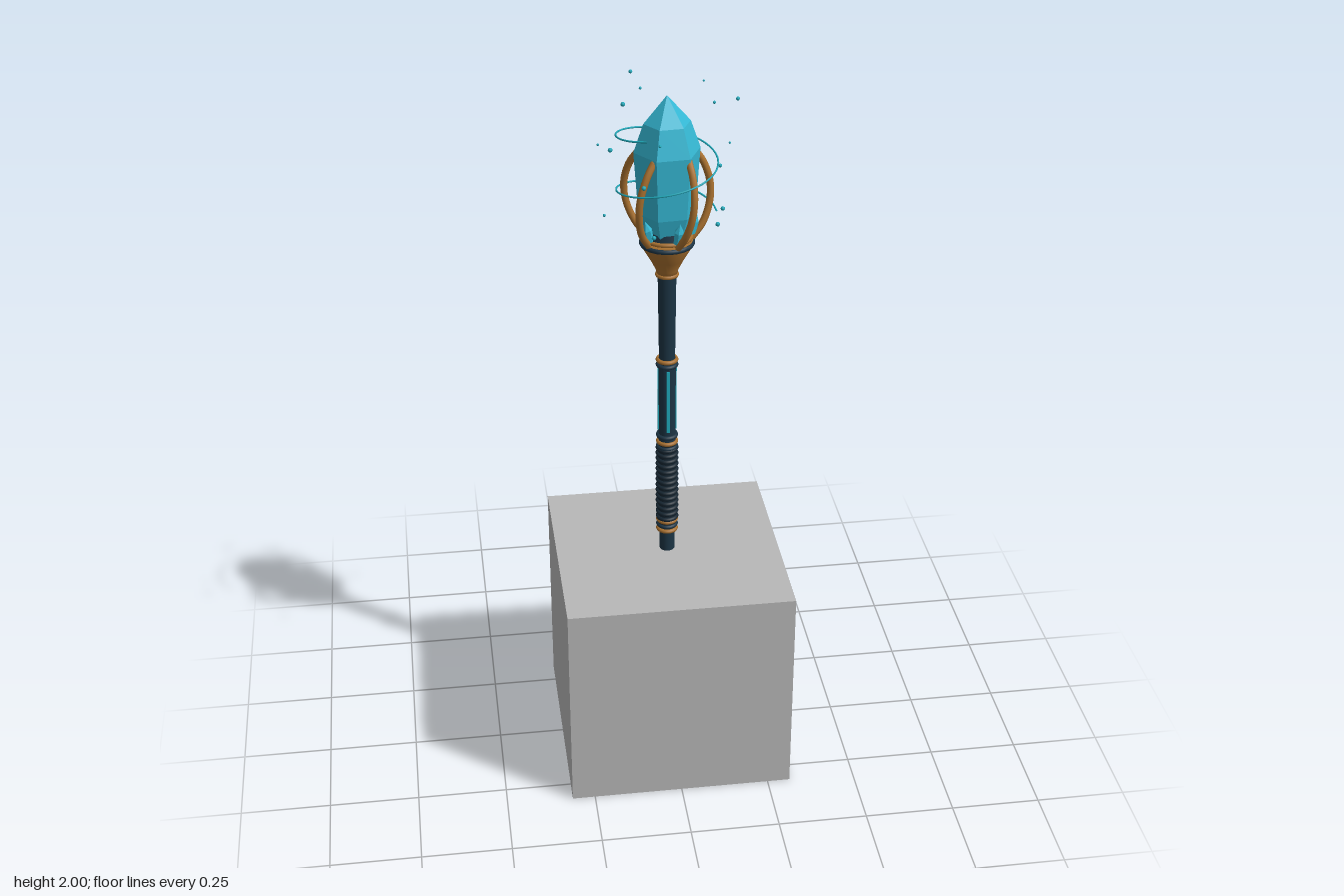
import * as THREE from 'three';

const mat = (name, color, flat = false) =>
  Object.assign(new THREE.MeshStandardMaterial({ color, flatShading: flat }), { name });

export function createModel() {
  const group = new THREE.Group();
  const stone = mat('grey block', 0xb8b8b8, true);
  const dark = mat('dark blue metal', 0x1c3444);
  const leather = mat('dark grip', 0x162632);
  const copper = mat('copper', 0xa8702f);
  const crystalMat = mat('crystal blue', 0x35b8d4, true);
  const glow = mat('glowing teal', 0x1fa9ba);

  const add = (name, geo, material, x = 0, y = 0, z = 0, parent = group) => {
    const m = new THREE.Mesh(geo, material);
    m.name = name;
    m.position.set(x, y, z);
    parent.add(m);
    return m;
  };
  const rod = (name, rTop, rBottom, y0, y1, material, sides = 20) =>
    add(name, new THREE.CylinderGeometry(rTop, rBottom, y1 - y0, sides), material, 0, (y0 + y1) / 2, 0);
  const ring = (name, r, tube, y, material) =>
    add(name, new THREE.TorusGeometry(r, tube, 8, 24).rotateX(Math.PI / 2), material, 0, y, 0);
  // point at an angle around the staff, turning from +x towards +z
  const polar = (r, a, y) => new THREE.Vector3(r * Math.cos(a), y, r * Math.sin(a));
  const rad = THREE.MathUtils.degToRad;

  // Base block
  add('block', new THREE.BoxGeometry(0.628, 0.628, 0.628), stone, 0, 0.314, 0);

  // Shaft
  rod('lowerShaft', 0.021, 0.021, 0.55, 0.72, dark);
  rod('gripCore', 0.026, 0.026, 0.71, 0.98, leather);
  rod('middleShaft', 0.024, 0.024, 0.98, 1.24, dark);
  rod('upperShaft', 0.025, 0.022, 1.24, 1.49, dark);
  for (let i = 0; i < 14; i++) ring('gripRib', 0.026, 0.006, 0.735 + i * 0.0172, leather);
  for (const y of [0.695, 0.725, 0.98, 1.235]) ring('copperBand', 0.025, 0.006, y, copper);
  for (const y of [0.71, 0.965, 1.0, 1.22]) ring('darkBand', 0.025, 0.006, y, dark);

  // Glowing inlays along the middle shaft
  for (let i = 0; i < 4; i++) {
    const a = i * Math.PI / 2;
    const p = polar(0.0235, a, 1.113);
    add('inlay', new THREE.BoxGeometry(0.005, 0.19, 0.008), glow, p.x, p.y, p.z).rotation.y = -a;
  }

  // Flared head socket
  const flare = [[0, 1.485], [0.026, 1.485], [0.03, 1.505], [0.045, 1.535], [0.068, 1.575], [0.068, 1.595], [0, 1.595]];
  add('socket', new THREE.LatheGeometry(flare.map(p => new THREE.Vector2(...p)), 28), copper);
  ring('socketCollar', 0.026, 0.006, 1.49, copper);
  ring('socketRim', 0.067, 0.007, 1.583, dark);
  ring('socketTrim', 0.063, 0.006, 1.6, copper);
  rod('crystalSeat', 0.056, 0.064, 1.59, 1.622, dark, 28);

  // Main crystal: six-sided, stepped towards the point
  const gem = [[0.0001, 1.6], [0.055, 1.605], [0.076, 1.67], [0.088, 1.84], [0.062, 1.915], [0.0001, 1.987]];
  const gemGeo = new THREE.LatheGeometry(gem.map(p => new THREE.Vector2(...p)), 6);
  add('crystal', gemGeo, crystalMat).rotation.y = rad(30 + 5);

  // Small shards around the crystal foot, leaning outward
  for (let i = 0; i < 5; i++) {
    const a = rad(72 * i);
    const shard = new THREE.Group();
    shard.name = 'shard';
    shard.position.copy(polar(0.063, a, 1.605));
    shard.rotation.set(0, -a, -0.25, 'YXZ');
    add('shardBody', new THREE.CylinderGeometry(0.013, 0.012, 0.035, 6), crystalMat, 0, 0.0175, 0, shard);
    add('shardTip', new THREE.ConeGeometry(0.013, 0.025, 6), crystalMat, 0, 0.0475, 0, shard);
    group.add(shard);
  }

  // Five curved prongs with a slight twist
  const prongPath = [[0.064, 9, 1.59], [0.095, 5, 1.63], [0.115, 1, 1.685], [0.117, -2, 1.74], [0.1, -6, 1.795], [0.077, -11, 1.83]];
  for (let i = 0; i < 5; i++) {
    const pts = prongPath.map(([r, twist, y]) => polar(r, rad(-81 + 72 * i + twist), y));
    add('prong', new THREE.TubeGeometry(new THREE.CatmullRomCurve3(pts), 24, 0.0095, 10), copper);
    const tip = pts[pts.length - 1];
    add('prongTip', new THREE.SphereGeometry(0.0095, 10, 8), copper, tip.x, tip.y, tip.z);
  }

  // Thin spiral of energy
  const spiral = [];
  for (let d = 360; d >= -240; d -= 15) spiral.push(polar(0.131, rad(d), 1.735 + (180 - d) / 360 * 0.15));
  add('spiral', new THREE.TubeGeometry(new THREE.CatmullRomCurve3(spiral), 120, 0.0025, 6), glow);

  // Floating motes: x, y, z, radius
  const motes = [
    [-0.072, 1.99, -0.172, 0.005], [-0.05, 1.7, -0.163, 0.004], [-0.098, 1.92, -0.124, 0.006],
    [-0.071, 1.76, -0.133, 0.003], [-0.052, 1.96, -0.128, 0.004], [0.052, 1.88, -0.122, 0.003],
    [0.116, 1.965, -0.147, 0.003], [0.155, 1.645, -0.051, 0.006], [-0.164, 1.67, 0.005, 0.004],
    [-0.181, 1.88, 0.04, 0.003], [-0.158, 1.895, 0.115, 0.006], [-0.078, 1.8, 0.144, 0.006],
    [-0.055, 1.67, 0.16, 0.006], [-0.034, 1.9, 0.121, 0.004], [0.107, 1.995, 0.085, 0.004],
    [0.126, 1.82, 0.072, 0.005], [0.128, 1.64, 0.034, 0.006], [0.154, 1.87, 0.047, 0.003],
    [0.169, 1.995, 0.068, 0.005],
  ];
  for (const [x, y, z, r] of motes) add('mote', new THREE.SphereGeometry(r, 8, 6), glow, x, y, z);

  return group;
}
